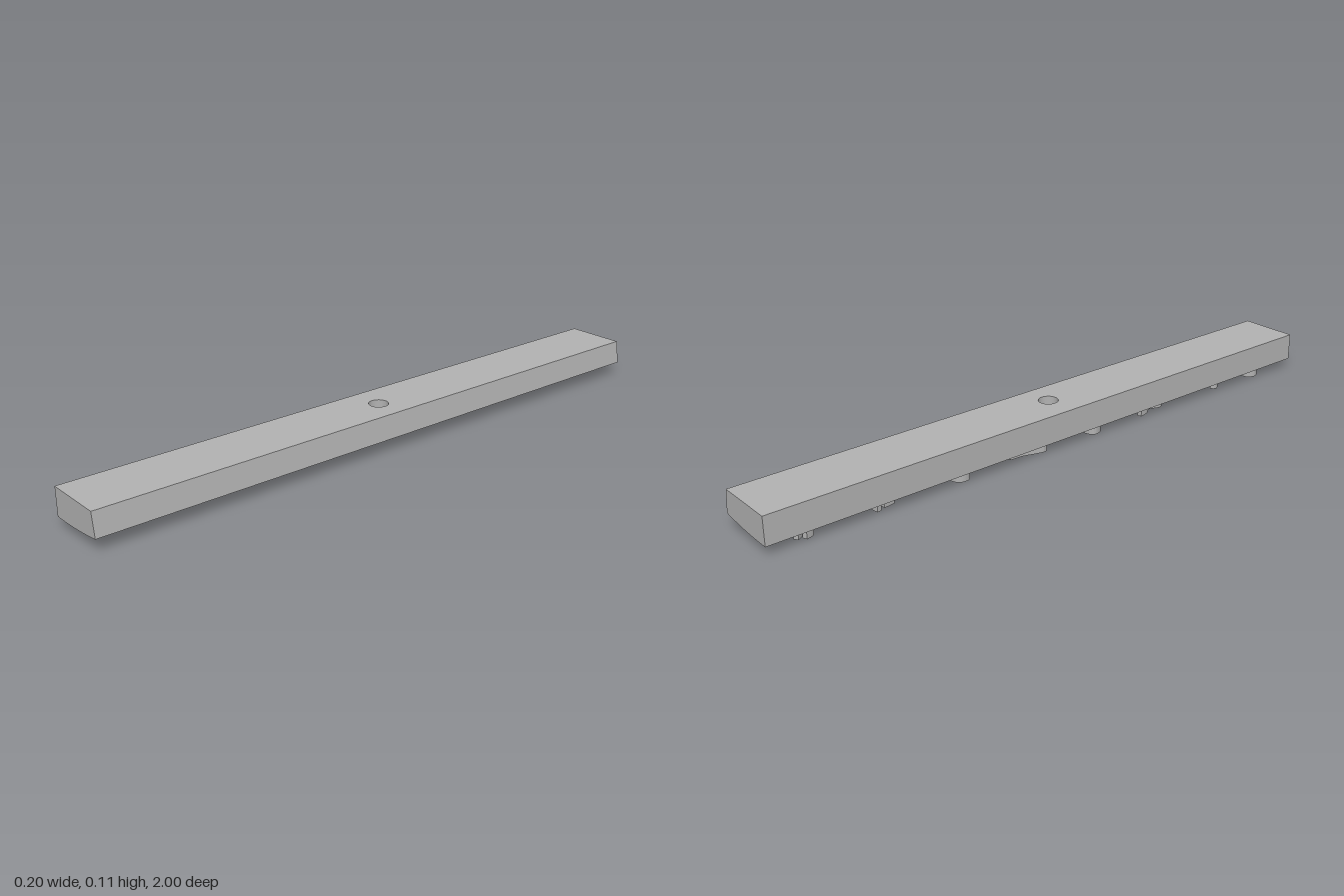
import * as THREE from 'three';

const STEPS = 10, HALF = 0.06;
// height of the gently curved underside at a given x
const underside = (x) => 0.031 + 0.0675 * x + 0.425 * x * x;

// reshape a flat plan extrusion (depth 1) so its two ends follow bottom(x) and top(x)
function planSolid(shape, reshape) {
  const g = new THREE.ExtrudeGeometry(shape, { depth: 1, bevelEnabled: false, curveSegments: 24 });
  g.rotateX(-Math.PI / 2);
  const p = g.attributes.position;
  for (let i = 0; i < p.count; i++) {
    const [x, y] = reshape(p.getX(i), p.getY(i) > 0.5);
    p.setX(i, x);
    p.setY(i, y);
  }
  g.computeVertexNormals();
  return g;
}

// thin raised ridge following a smooth path of [x, z] points
function ridgeGeometry(points, width = 0.014) {
  const curve = new THREE.CatmullRomCurve3(points.map(([x, z]) => new THREE.Vector3(x, -z, 0)));
  const left = [], right = [], n = points.length * 5;
  for (let i = 0; i <= n; i++) {
    const c = curve.getPointAt(i / n), t = curve.getTangentAt(i / n);
    left.push(new THREE.Vector2(c.x - t.y * width / 2, c.y + t.x * width / 2));
    right.unshift(new THREE.Vector2(c.x + t.y * width / 2, c.y - t.x * width / 2));
  }
  return planSolid(new THREE.Shape([...left, ...right]),
    (x, top) => [x, underside(x) + (top ? 0.004 : -0.0283)]);
}

export function createModel() {
  const model = new THREE.Group();
  model.name = 'bar';
  const grey = new THREE.MeshStandardMaterial({ name: 'grey', color: 0xb2b2b2 });
  const add = (geometry, name) => {
    const m = new THREE.Mesh(geometry, grey);
    m.name = name;
    model.add(m);
  };

  // long ends: the cross-section swept along z
  const profile = new THREE.Shape();
  profile.moveTo(0.09, 0.115);
  profile.lineTo(-0.1, 0.115);
  for (let i = 0; i <= STEPS; i++) {
    const x = -0.1 + 0.2 * i / STEPS;
    profile.lineTo(x, underside(x));
  }
  profile.closePath();
  for (const [z, name] of [[HALF, 'frontBar'], [-1, 'backBar']]) {
    const g = new THREE.ExtrudeGeometry(profile, { depth: 1 - HALF, bevelEnabled: false });
    add(g.translate(0, 0, z), name);
  }

  // middle block with the round through-hole
  const plan = new THREE.Shape();
  for (let i = 0; i <= STEPS; i++) {
    const x = -0.1 + 0.2 * i / STEPS;
    if (i) plan.lineTo(x, -HALF); else plan.moveTo(x, -HALF);
  }
  for (let i = STEPS; i >= 0; i--) plan.lineTo(-0.1 + 0.2 * i / STEPS, HALF);
  plan.closePath();
  const hole = new THREE.Path();
  hole.absarc(0, 0, 0.03, 0, Math.PI * 2, true);
  plan.holes.push(hole);
  add(planSolid(plan, (x, top) => (top ? [Math.min(x, 0.09), 0.115] : [x, underside(x)])), 'middleBlock');

  // raised ridges under the bar, as [x, z] paths
  const ridges = [
    [[-0.045, 0.86], [-0.065, 0.865], [-0.08, 0.84], [-0.068, 0.82], [-0.05, 0.82]],
    [[-0.042, 0.675], [-0.06, 0.675], [-0.07, 0.66], [-0.06, 0.65]],
    [[0.0, 0.43], [-0.005, 0.38], [-0.012, 0.34], [-0.018, 0.305]],
    [[-0.045, 0.43], [-0.06, 0.41], [-0.05, 0.37], [-0.068, 0.34], [-0.075, 0.31]],
    [[0.013, 0.145], [0.0, 0.12], [-0.012, 0.1]],
    [[0.0, 0.148], [-0.025, 0.145], [-0.03, 0.12], [-0.015, 0.1]],
    [[-0.05, 0.145], [-0.075, 0.135], [-0.08, 0.11], [-0.055, 0.098]],
    [[-0.03, -0.068], [-0.055, -0.068], [-0.075, -0.08], [-0.07, -0.11], [-0.058, -0.15], [-0.055, -0.195]],
    [[-0.022, -0.35], [-0.055, -0.35], [-0.078, -0.365], [-0.075, -0.39], [-0.05, -0.4]],
    [[-0.025, -0.4], [-0.025, -0.435]],
    [[-0.04, -0.57], [-0.026, -0.58], [-0.024, -0.62], [-0.03, -0.655], [-0.06, -0.658], [-0.08, -0.655]],
    [[-0.06, -0.6], [-0.065, -0.635]],
    [[-0.025, -0.855], [0.0, -0.852], [0.012, -0.875], [0.0, -0.9], [-0.025, -0.9]],
    [[-0.035, -0.86], [-0.07, -0.855], [-0.08, -0.88]],
    [[-0.035, -0.885], [-0.055, -0.88], [-0.07, -0.9]],
  ];
  ridges.forEach((points, i) => add(ridgeGeometry(points), `undersideRidge${i + 1}`));
  return model;
}
